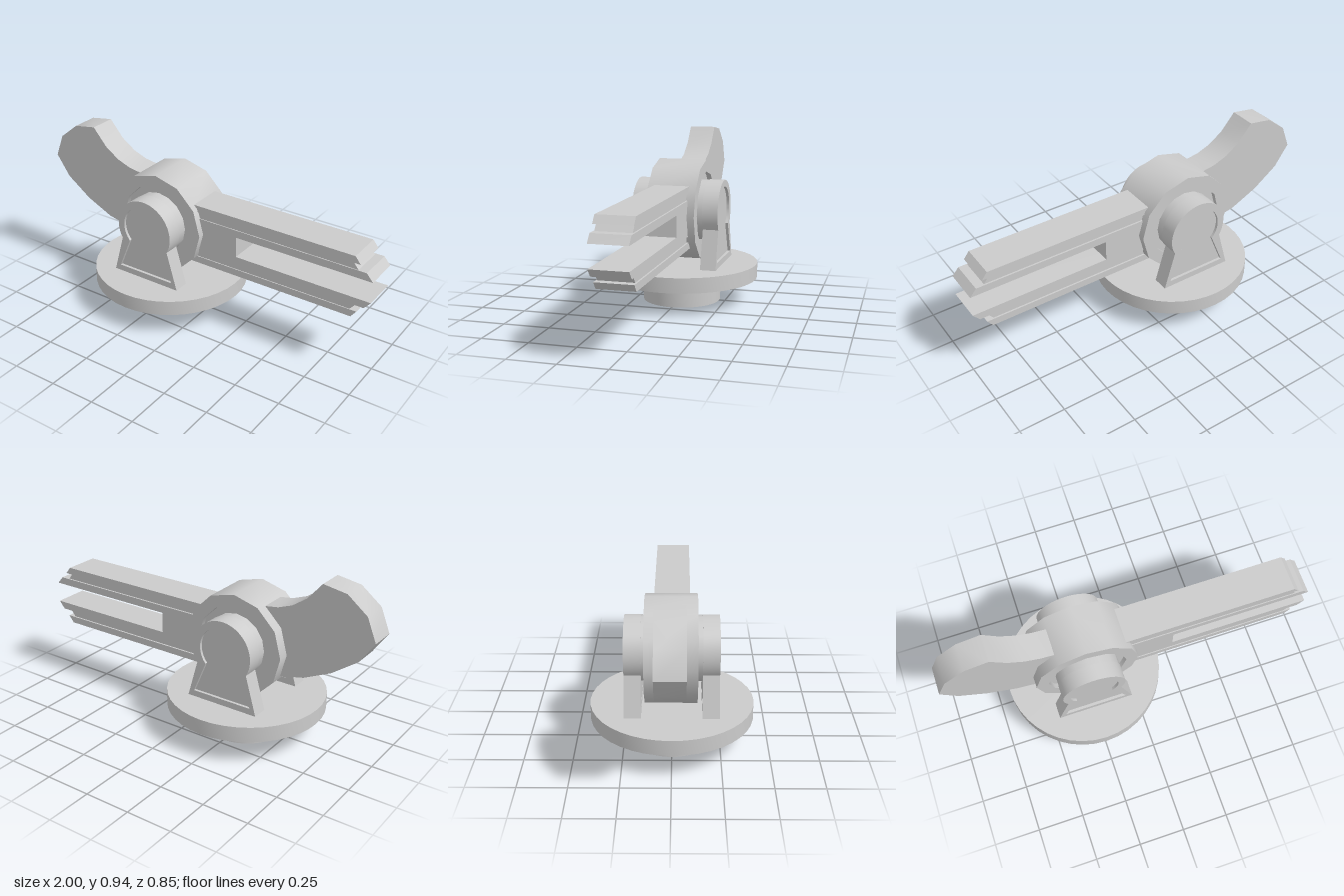
import * as THREE from 'three';
import { toCreasedNormals } from 'three/addons/utils/BufferGeometryUtils.js';

const CX = -0.25, CY = 0.515; // pivot axis of the hub

export function createModel() {
  const model = new THREE.Group();
  const material = new THREE.MeshStandardMaterial({ color: 0xcccccc });

  const add = (name, geometry, x = 0, y = 0, z = 0) => {
    const mesh = new THREE.Mesh(geometry, material);
    mesh.name = name;
    mesh.position.set(x, y, z);
    model.add(mesh);
    return mesh;
  };
  const polygon = (points) => new THREE.Shape(points.map(([x, y]) => new THREE.Vector2(x, y)));
  const circle = (radius, sides) => Array.from({ length: sides }, (_, i) => {
    const a = Math.PI / 2 + (i / sides) * Math.PI * 2;
    return [Math.cos(a) * radius, Math.sin(a) * radius];
  });
  // Extrudes a side outline between two depths, keeping gentle bends smooth
  const slab = (shape, z0, z1, crease = 0.6) => {
    const g = new THREE.ExtrudeGeometry(shape, { depth: z1 - z0, bevelEnabled: false, curveSegments: 24 });
    g.translate(0, 0, z0);
    return toCreasedNormals(g, crease);
  };

  // Round base: foot and plate with a slightly conical underside
  const base = [[0, 0], [0.217, 0], [0.217, 0.12], [0.425, 0.135], [0.425, 0.218], [0, 0.218]];
  const lathe = new THREE.LatheGeometry(base.map(([x, y]) => new THREE.Vector2(x, y)), 40);
  add('base', toCreasedNormals(lathe, 0.5), CX);

  // Twelve-sided hub with a shallow recess on both faces
  const rim = polygon(circle(0.28, 12));
  rim.holes.push(polygon(circle(0.213, 12)));
  add('hubRim', slab(rim, -0.137, 0.13), CX, CY);
  add('hubCore', slab(polygon(circle(0.22, 12)), -0.11, 0.103), CX, CY);

  // Axle through the hub
  const axle = new THREE.CylinderGeometry(0.169, 0.169, 0.34, 16);
  axle.rotateX(Math.PI / 2);
  add('axle', axle, CX, CY);

  // Keyhole-shaped outline: round head above a flared foot
  const keyhole = (radius, neckY, footHalf, footY) => {
    const a = Math.asin(neckY / radius);
    const s = new THREE.Shape();
    s.moveTo(-footHalf, footY);
    s.lineTo(footHalf, footY);
    s.lineTo(Math.cos(a) * radius, neckY);
    s.absarc(0, 0, radius, a, Math.PI - a, false);
    s.closePath();
    return s;
  };

  // Two bracket cheeks, each with a framed, sunken outer panel
  for (const side of [1, -1]) {
    const name = side > 0 ? 'frontBracket' : 'backBracket';
    const range = (a, b) => (side > 0 ? [a, b] : [-b, -a]);
    const frame = keyhole(0.17, -0.085, 0.21, 0.21 - CY);
    frame.holes.push(keyhole(0.132, -0.088, 0.172, 0.252 - CY));
    add(name + 'Frame', slab(frame, ...range(0.155, 0.241)), CX, CY);
    const panel = keyhole(0.14, -0.087, 0.18, 0.245 - CY);
    add(name + 'Panel', slab(panel, ...range(0.156, 0.226)), CX, CY);
  }

  // Forked arm: each prong is three layers with slanted ends, mirrored about y = 0.505
  const armY = 0.505;
  const layers = [
    // inner y, outer y, inner end x, outer end x, back z, front z
    ['inner', 0.057, 0.098, 1, 0.965, -0.098, 0.095],
    ['groove', 0.097, 0.133, 0.92, 0.89, -0.089, 0.09],
    ['outer', 0.132, 0.17, 0.93, 0.9, -0.098, 0.095],
  ];
  for (const side of [1, -1]) {
    for (const [name, y0, y1, x0, x1, z0, z1] of layers) {
      const points = [[-0.1, y0 * side], [x0, y0 * side], [x1, y1 * side], [-0.1, y1 * side]];
      add((side > 0 ? 'upperProng_' : 'lowerProng_') + name, slab(polygon(points), z0, z1, 0.3), 0, armY);
    }
  }
  // Solid web closing the slot near the hub
  add('armWeb', new THREE.BoxGeometry(0.335, 0.116, 0.193), 0.0675, armY, -0.0015);

  // Curved tail sweeping up behind the hub
  const tail = polygon([
    [-0.35, 0.4], [-0.35, 0.74], [-0.4, 0.75], [-0.47, 0.76], [-0.55, 0.79], [-0.63, 0.845],
    [-0.71, 0.938], [-0.84, 0.917], [-0.95, 0.83], [-1, 0.705], [-0.92, 0.59],
    [-0.78, 0.49], [-0.63, 0.42], [-0.49, 0.388],
  ]);
  add('tail', slab(tail, -0.076, 0.069));

  return model;
}
